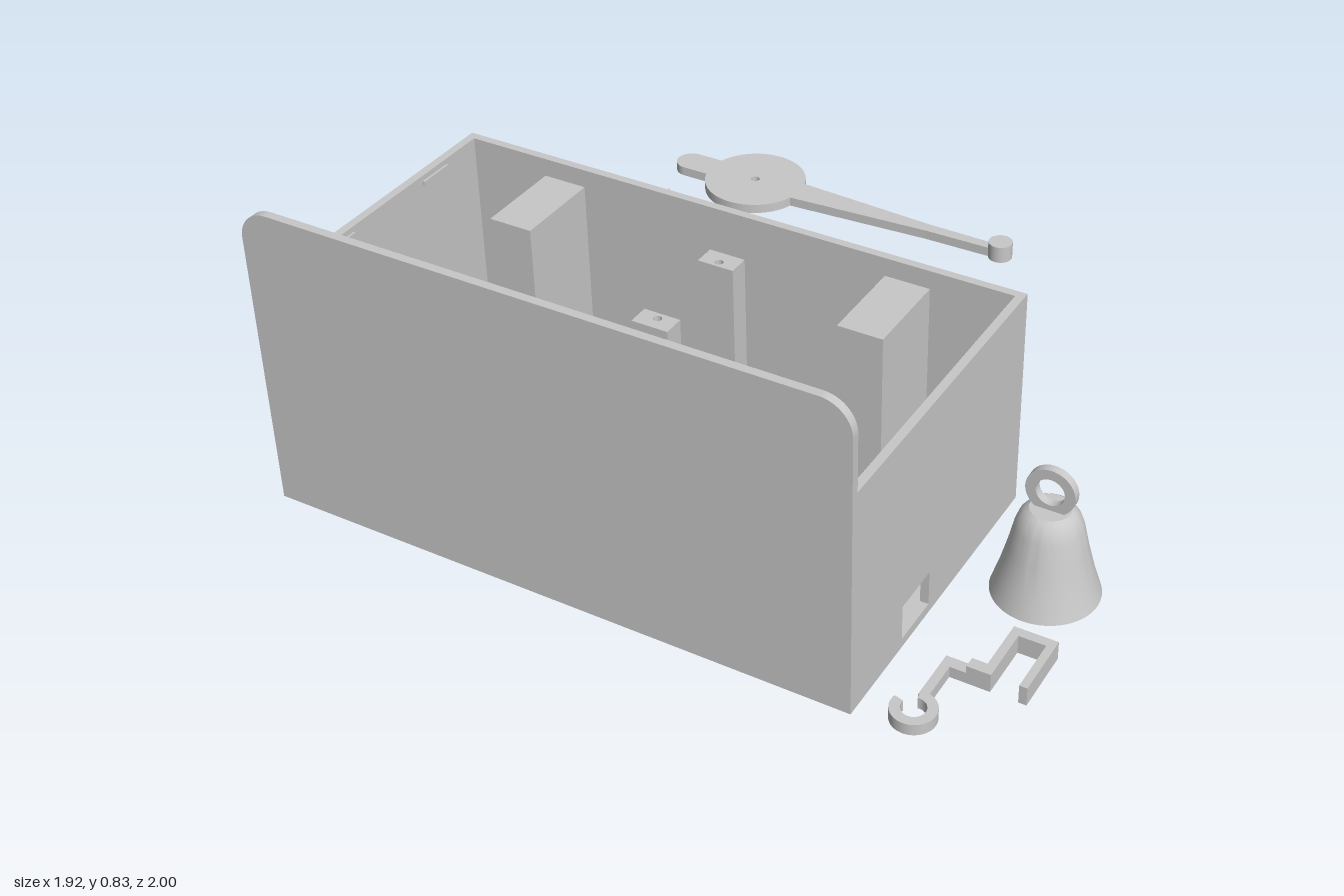
import * as THREE from 'three';
import { toCreasedNormals } from 'three/addons/utils/BufferGeometryUtils.js';

export function createModel() {
  const root = new THREE.Group();
  const grey = new THREE.MeshStandardMaterial({ color: 0xc8c8c8 });
  grey.name = 'light grey';

  const add = (name, geo, x = 0, y = 0, z = 0, parent = root) => {
    const m = new THREE.Mesh(geo, grey);
    m.name = name;
    m.position.set(x, y, z);
    parent.add(m);
    return m;
  };
  const group = (name) => {
    const g = new THREE.Group();
    g.name = name;
    root.add(g);
    return g;
  };
  // Box given by its limits
  const block = (name, x0, x1, y0, y1, z0, z1, parent) =>
    add(name, new THREE.BoxGeometry(x1 - x0, y1 - y0, z1 - z0),
      (x0 + x1) / 2, (y0 + y1) / 2, (z0 + z1) / 2, parent);
  const rect = (x0, x1, y0, y1, Type = THREE.Shape) => {
    const s = new Type();
    s.moveTo(x0, y0); s.lineTo(x1, y0); s.lineTo(x1, y1); s.lineTo(x0, y1); s.closePath();
    return s;
  };
  const extrude = (shape, depth) =>
    new THREE.ExtrudeGeometry(shape, { depth, bevelEnabled: false, curveSegments: 24 });
  // Flat plate drawn in (x, -z), lying on the ground
  const flat = (name, shape, h, parent) =>
    add(name, extrude(shape, h).rotateX(-Math.PI / 2), 0, 0, 0, parent);
  const outline = (pts) => new THREE.Shape(pts.map(([x, z]) => new THREE.Vector2(x, -z)));

  // ---- Open case ----
  const box = group('case');
  block('floor', -0.96, 0.623, 0, 0.02, 0.137, 0.98, box);
  block('rightWall', -0.96, -0.938, 0.02, 0.6, 0.159, 0.98, box);

  const leftWall = rect(0.159, 0.98, 0.02, 0.6);
  leftWall.holes.push(rect(0.62, 0.755, 0.025, 0.12, THREE.Path));
  add('leftWall', extrude(leftWall, 0.022).rotateY(-Math.PI / 2), 0.623, 0, 0, box);

  const guides = [-0.658, 0.322];
  const back = rect(-0.96, 0.623, 0.02, 0.6);
  guides.forEach((x) => back.holes.push(rect(x - 0.045, x + 0.045, 0.45, 0.53, THREE.Path)));
  add('backWall', extrude(back, 0.022), 0, 0, 0.137, box);

  // Front panel with rounded top corners
  const r = 0.08, front = new THREE.Shape();
  front.moveTo(-0.96, 0);
  front.lineTo(0.623, 0);
  front.lineTo(0.623, 0.83 - r);
  front.absarc(0.623 - r, 0.83 - r, r, 0, Math.PI / 2);
  front.absarc(-0.96 + r, 0.83 - r, r, Math.PI / 2, Math.PI);
  front.closePath();
  add('frontPanel', extrude(front, 0.022), 0, 0, 0.978, box);

  // ---- Fittings inside the case ----
  const inner = group('fittings');
  guides.forEach((x) => {
    const s = rect(x - 0.06, x + 0.06, 0.02, 0.55);
    s.holes.push(rect(x - 0.045, x + 0.045, 0.45, 0.53, THREE.Path));
    add('slotHousing', extrude(s, 0.226), 0, 0, 0.159, inner);
    block('slotHousingEnd', x - 0.06, x + 0.06, 0.02, 0.55, 0.385, 0.4, inner);
  });
  block('cornerPost', 0.542, 0.601, 0.02, 0.58, 0.912, 0.978, inner);

  // Corner compartment
  block('compartmentBack', -0.897, -0.417, 0.02, 0.555, 0.708, 0.73, inner);
  for (const x of [-0.897, -0.437]) block('compartmentSide', x, x + 0.02, 0.02, 0.555, 0.73, 0.978, inner);

  // Pivot bracket: base strip and two posts with a pin hole in the top
  block('bracketBase', -0.22, -0.12, 0.02, 0.06, 0.172, 0.532, inner);
  for (const [z0, zh] of [[0.172, 0.212], [0.474, 0.495]]) {
    const s = rect(-0.22, -0.12, -z0 - 0.058, -z0);
    s.holes.push(new THREE.Path().absarc(-0.17, -zh, 0.011, 0, Math.PI * 2));
    flat('bracketPost', s, 0.425, inner).position.y = 0.06;
  }

  // Rails, stop and pegs on the floor
  for (const z of [0.613, 0.735]) block('rail', 0.033, 0.473, 0.02, 0.1, z, z + 0.022, inner);
  block('railStop', -0.018, 0.036, 0.02, 0.12, 0.645, 0.725, inner);
  for (const x of [0.07, 0.475])
    for (const z of [0.512, 0.835]) block('peg', x, x + 0.042, 0.02, 0.08, z, z + 0.023, inner);

  // Small lid catches
  for (const z of [0.28, 0.655]) {
    block('sideCatch', -0.938, -0.932, 0.575, 0.585, z, z + 0.1, inner);
    block('sideCatch', 0.595, 0.601, 0.575, 0.585, z, z + 0.1, inner);
  }
  for (const x of [-0.63, 0.19]) block('frontCatch', x, x + 0.1, 0.592, 0.604, 0.97, 0.978, inner);

  // ---- Bell ----
  const bell = group('bell');
  bell.position.set(0.825, 0, 0.412);
  const profile = [[0, 0.215], [0.04, 0.213], [0.062, 0.19], [0.08, 0.13], [0.1, 0.06], [0.12, 0],
    [0.132, 0], [0.113, 0.06], [0.095, 0.13], [0.082, 0.19], [0.073, 0.215], [0.06, 0.233], [0.05, 0.24], [0, 0.24]];
  const bellGeo = new THREE.LatheGeometry(profile.map(([x, y]) => new THREE.Vector2(x, y)), 64);
  add('bellBody', toCreasedNormals(bellGeo, 0.5), 0, 0, 0, bell);
  const ring = new THREE.Shape().absarc(0, 0, 0.062, 0, Math.PI * 2);
  ring.holes.push(new THREE.Path().absarc(0, 0, 0.036, 0, Math.PI * 2));
  add('bellRing', extrude(ring, 0.022), 0, 0.29, -0.011, bell);

  // ---- Striker arm with disc ----
  const striker = group('strikerArm');
  const zc = 0.848, disc = new THREE.Shape();
  const a = Math.asin(0.045 / 0.152);
  disc.moveTo(0.1, zc + 0.015);
  disc.lineTo(-0.11, zc + 0.018);
  disc.lineTo(-0.69 + 0.152 * Math.cos(a), zc + 0.045);
  disc.absarc(-0.69, zc, 0.152, a, Math.PI - a);
  disc.absarc(-0.915, zc, 0.045, Math.PI / 2, Math.PI * 1.5);
  disc.absarc(-0.69, zc, 0.152, Math.PI + a, Math.PI * 2 - a);
  disc.lineTo(-0.11, zc - 0.018);
  disc.lineTo(0.1, zc - 0.015);
  disc.closePath();
  disc.holes.push(new THREE.Path().absarc(-0.69, zc, 0.013, 0, Math.PI * 2));
  flat('strikerDisc', disc, 0.028, striker);
  add('strikerHead', new THREE.CylinderGeometry(0.035, 0.035, 0.05, 32), 0.122, 0.025, -zc, striker);

  // ---- Toothed lever ----
  const pts = [[-0.96, -0.492], [-0.86, -0.492], [-0.86, -0.632], [-0.72, -0.492], [0.06, -0.492], [0.06, -0.527],
    [0.102, -0.527], [0.102, -0.492], [0.345, -0.492], [0.345, -0.412], [0.102, -0.412], [0.102, -0.38],
    [0.06, -0.38], [0.06, -0.412], [-0.72, -0.412], [-0.86, -0.272], [-0.86, 0.06], [-0.96, 0.06]];
  for (let z = 0.05; z > -0.4; z -= 0.02)
    pts.push([-0.96, z], [-0.955, z - 0.003], [-0.955, z - 0.008], [-0.96, z - 0.011]);
  flat('toothedLever', outline(pts), 0.06);

  // ---- Hook ----
  const hook = group('hook');
  flat('hookClip', outline([[0.838, 0.62], [0.948, 0.62], [0.948, 0.79], [0.928, 0.79], [0.928, 0.645],
    [0.86, 0.645], [0.86, 0.79], [0.8, 0.79], [0.8, 0.76], [0.838, 0.76]]), 0.05, hook);
  flat('hookStem', outline([[0.737, 0.76], [0.8, 0.76], [0.8, 0.79], [0.76, 0.79], [0.76, 0.9], [0.737, 0.9]]),
    0.03, hook);
  const curl = new THREE.Shape();
  curl.absarc(0.747, -0.942, 0.055, -Math.PI * 1.08, Math.PI * 0.55, false);
  curl.absarc(0.747, -0.942, 0.03, Math.PI * 0.55, -Math.PI * 1.08, true);
  curl.closePath();
  flat('hookCurl', curl, 0.03, hook);

  return root;
}
